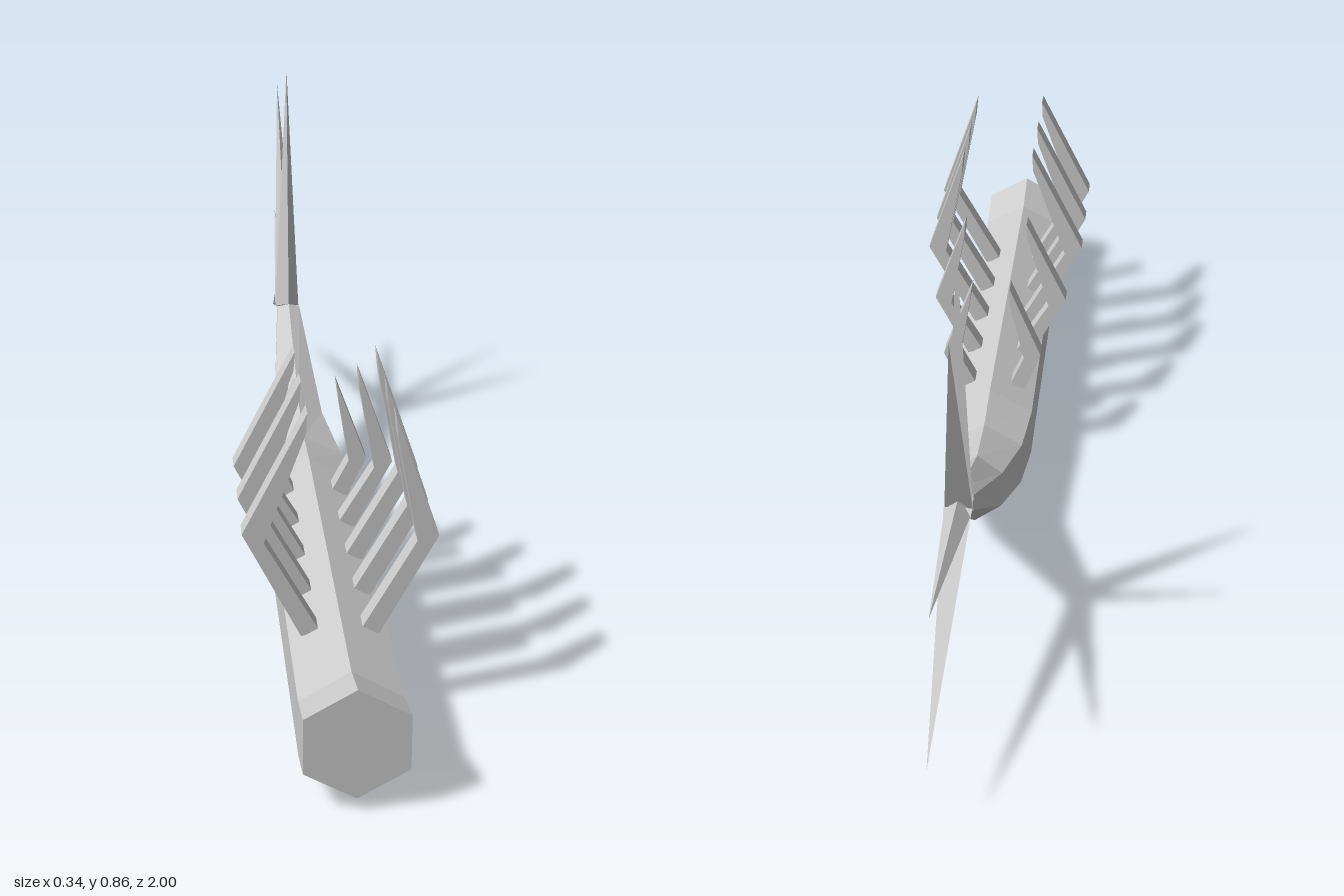
import * as THREE from 'three';
import { ConvexGeometry } from 'three/addons/geometries/ConvexGeometry.js';

const material = new THREE.MeshStandardMaterial({ color: 0xcccccc, flatShading: true });

function addMesh(parent, name, geometry) {
  const mesh = new THREE.Mesh(geometry, material);
  mesh.name = name;
  parent.add(mesh);
  return mesh;
}

// Six-sided loft; each section is [topZ, topY, bottomZ, bottomY, halfWidth], front to back.
function hexLoft(sections) {
  const positions = [];
  const rings = sections.map(([tz, ty, bz, by, w]) =>
    Array.from({ length: 6 }, (_, i) => {
      const a = (i * Math.PI) / 3;
      const t = (1 - Math.cos(a)) / 2;
      return [
        (w * Math.sin(a)) / Math.sin(Math.PI / 3),
        THREE.MathUtils.lerp(ty, by, t),
        THREE.MathUtils.lerp(tz, bz, t),
      ];
    }));
  const tri = (a, b, c) => positions.push(...a, ...b, ...c);
  for (let s = 0; s < rings.length - 1; s++) {
    for (let i = 0; i < 6; i++) {
      const j = (i + 1) % 6;
      tri(rings[s][i], rings[s][j], rings[s + 1][j]);
      tri(rings[s][i], rings[s + 1][j], rings[s + 1][i]);
    }
  }
  const front = rings[0], back = rings[rings.length - 1];
  for (let i = 1; i < 5; i++) {
    tri(front[0], front[i + 1], front[i]);
    tri(back[0], back[i], back[i + 1]);
  }
  const geometry = new THREE.BufferGeometry();
  geometry.setAttribute('position', new THREE.Float32BufferAttribute(positions, 3));
  geometry.computeVertexNormals();
  return geometry;
}

// Bent rib: flat outline in x/y, given thickness along z.
function ribGeometry(outline) {
  const shape = new THREE.Shape(outline.map(([x, y]) => new THREE.Vector2(x, y)));
  const depth = 0.038;
  const geometry = new THREE.ExtrudeGeometry(shape, { depth, bevelEnabled: false });
  geometry.translate(0, 0, -depth / 2);
  return geometry;
}

// Outline order: inner foot, outer foot, outer knee, tip, lower tip, inner knee.
const ribOutlines = {
  left: {
    large: [[0.035, 0.175], [0.068, 0.168], [0.168, 0.352], [0.091, 0.58], [0.095, 0.536], [0.131, 0.343]],
    medium: [[0.035, 0.175], [0.068, 0.168], [0.138, 0.303], [0.073, 0.49], [0.075, 0.455], [0.104, 0.29]],
    small: [[0.035, 0.175], [0.068, 0.168], [0.104, 0.248], [0.045, 0.41], [0.049, 0.377], [0.07, 0.243]],
  },
  right: {
    large: [[-0.035, 0.175], [-0.068, 0.168], [-0.168, 0.367], [-0.057, 0.586], [-0.059, 0.55], [-0.131, 0.35]],
    medium: [[-0.035, 0.175], [-0.068, 0.168], [-0.143, 0.312], [-0.057, 0.49], [-0.059, 0.459], [-0.106, 0.295]],
    small: [[-0.035, 0.175], [-0.068, 0.168], [-0.1, 0.255], [-0.034, 0.41], [-0.034, 0.375], [-0.065, 0.245]],
  },
};

export function createModel() {
  const model = new THREE.Group();
  model.name = 'spinedTail';

  // Spine: straight, raised at the front end, tapering upwards at the back
  addMesh(model, 'spine', hexLoft([
    [1, 0.23, 1, 0.027, 0.088],
    [0.9, 0.204, 0.91, 0.002, 0.088],
    [0.07, 0.204, 0.07, 0.002, 0.088],
    [-0.05, 0.195, -0.07, 0.027, 0.078],
    [-0.19, 0.215, -0.235, 0.09, 0.051],
    [-0.465, 0.335, -0.51, 0.3, 0.024],
  ]));

  // Ribs: five pairs, shrinking towards the tail
  const rows = [[0.697, 'large'], [0.56, 'large'], [0.425, 'large'], [0.29, 'medium'], [0.153, 'small']];
  for (const side of ['left', 'right']) {
    const ribs = new THREE.Group();
    ribs.name = `${side}Ribs`;
    for (const [z, size] of rows) {
      addMesh(ribs, `${side}Rib`, ribGeometry(ribOutlines[side][size])).position.z = z;
    }
    model.add(ribs);
  }

  // Tail spikes: [ridge z, y], [edge z, y], [tip x, y, z]
  const spikes = [
    [[-0.466, 0.335], [-0.51, 0.315], [0, 0.86, -0.51]],
    [[-0.505, 0.34], [-0.52, 0.325], [-0.008, 0.785, -0.697]],
    [[-0.51, 0.345], [-0.515, 0.322], [0, 0.408, -0.935]],
    [[-0.505, 0.297], [-0.53, 0.335], [0, 0.135, -1]],
  ];
  const tail = new THREE.Group();
  tail.name = 'tailSpikes';
  for (const [ridge, edge, tip] of spikes) {
    addMesh(tail, 'tailSpike', new ConvexGeometry([
      new THREE.Vector3(0, ridge[1], ridge[0]),
      new THREE.Vector3(0.025, edge[1], edge[0]),
      new THREE.Vector3(-0.027, edge[1], edge[0]),
      new THREE.Vector3(...tip),
    ]));
  }
  model.add(tail);

  return model;
}
